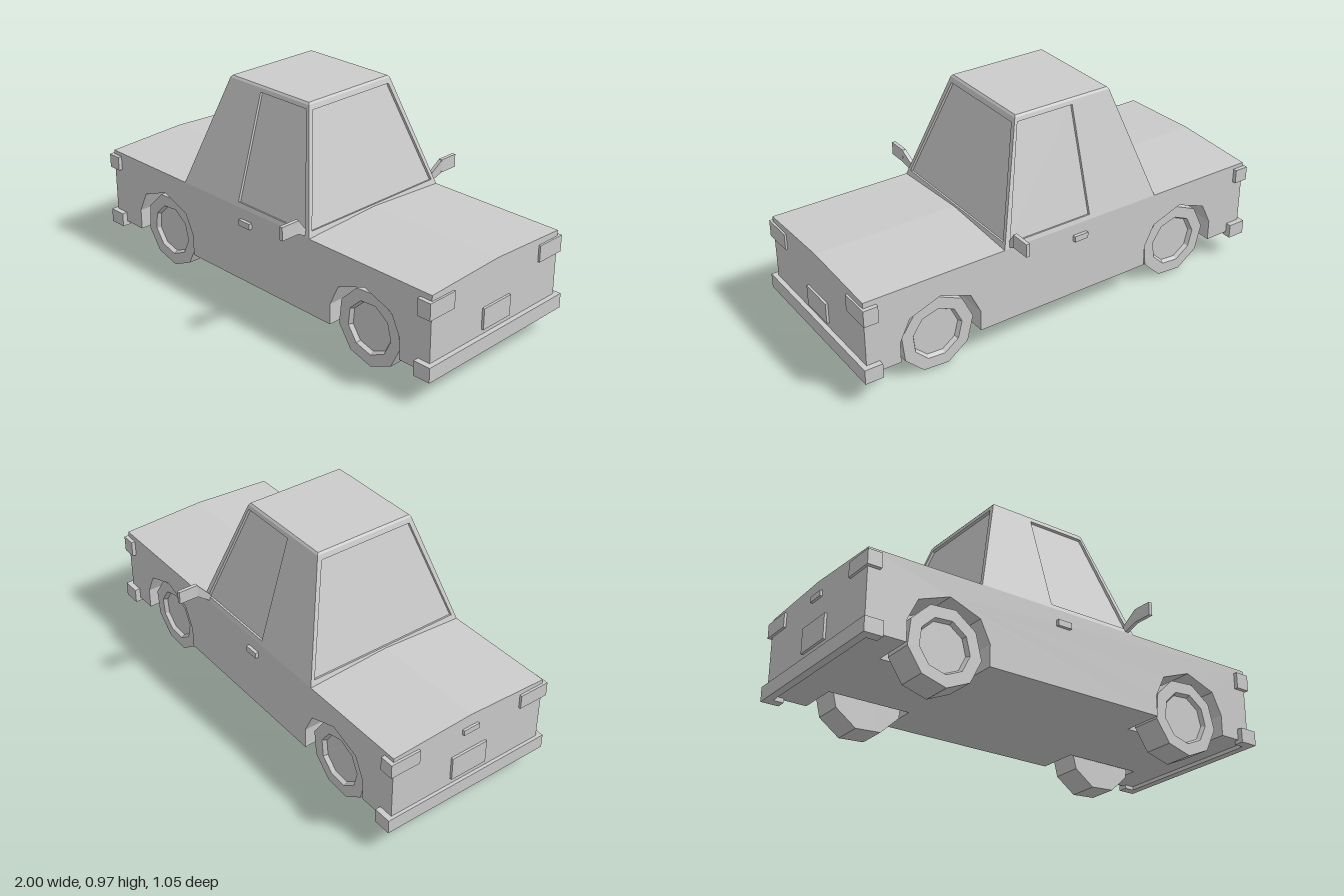
import * as THREE from 'three';

const mat = new THREE.MeshStandardMaterial({ color: 0xcccccc, flatShading: true, side: THREE.DoubleSide });
const V = (x, y, z) => new THREE.Vector3(x, y, z);

export function createModel() {
  const car = new THREE.Group();
  car.name = 'car';
  const add = (name, geo) => {
    const m = new THREE.Mesh(geo, mat);
    m.name = name;
    car.add(m);
    return m;
  };
  // Box given by its extents
  const block = (name, x0, x1, y0, y1, z0, z1) =>
    add(name, new THREE.BoxGeometry(x1 - x0, y1 - y0, z1 - z0)
      .translate((x0 + x1) / 2, (y0 + y1) / 2, (z0 + z1) / 2));

  const X0 = -0.985, X1 = 0.975, Y0 = 0.125, Y1 = 0.47, W = 0.39, IN = 0.2;
  const wheelX = [-0.615, 0.63], wheelY = 0.172, wheelR = 0.172;

  // Body: solid core between two side slabs with wheel arches cut out
  block('bodyCore', X0, X1, Y0, Y1, -IN, IN);
  const arch = [[-0.19, Y0], [-0.19, 0.22], [-0.143, 0.317], [0, 0.37], [0.143, 0.317], [0.19, 0.22], [0.19, Y0]];
  const side = new THREE.Shape();
  side.moveTo(X0, Y0);
  for (const cx of wheelX) for (const [x, y] of arch) side.lineTo(cx + x, y);
  side.lineTo(X1, Y0);
  side.lineTo(X1, Y1);
  side.lineTo(X0, Y1);
  for (const z of [IN, -W]) {
    add('bodySide', new THREE.ExtrudeGeometry(side, { depth: W - IN, bevelEnabled: false }).translate(0, 0, z));
  }

  // Gently crowned deck forming the hood and trunk lid
  const crown = new THREE.Shape([[-W, Y1], [W, Y1], [0, 0.487]].map(([x, y]) => new THREE.Vector2(x, y)));
  add('deck', new THREE.ExtrudeGeometry(crown, { depth: X1 - X0, bevelEnabled: false })
    .rotateY(Math.PI / 2).translate(X0, 0, 0));

  // Cabin wall: corners bl, br, tr, tl seen from outside, with a recessed window at hole (u, v)
  function wall(name, c, hole) {
    const at = ([u, v]) => c[0].clone().lerp(c[1], u).lerp(c[3].clone().lerp(c[2], u), v);
    const inward = c[3].clone().sub(c[0]).cross(c[1].clone().sub(c[0])).normalize().multiplyScalar(0.012);
    const rim = hole.map(at), glass = rim.map(p => p.clone().add(inward));
    const pts = [];
    const quad = (a, b, d, e) => pts.push(a, b, d, a, d, e);
    for (let i = 0; i < 4; i++) {
      const j = (i + 1) % 4;
      quad(c[i], c[j], rim[j], rim[i]);
      quad(rim[i], rim[j], glass[j], glass[i]);
    }
    quad(...glass);
    const geo = new THREE.BufferGeometry().setFromPoints(pts);
    geo.computeVertexNormals();
    add(name, geo);
  }
  const B = { r: -0.465, f: 0.32, y: Y1, w: W }, T = { r: -0.311, f: 0.167, y: 0.964, w: 0.24 };
  const corner = (l, end, s) => V(l[end], l.y, l.w * s);
  const screen = [[0.023, 0.05], [0.977, 0.05], [0.955, 0.955], [0.045, 0.955]];
  const door = [[0.445, 0.04], [0.969, 0.04], [0.971, 0.965], [0.41, 0.965]];
  const doorMirror = [1, 0, 3, 2].map(i => [1 - door[i][0], door[i][1]]);
  const face = (e0, s0, e1, s1) => [corner(B, e0, s0), corner(B, e1, s1), corner(T, e1, s1), corner(T, e0, s0)];
  wall('windshield', face('f', 1, 'f', -1), screen);
  wall('rearWindow', face('r', -1, 'r', 1), screen);
  wall('cabinSide', face('r', 1, 'f', 1), door);
  wall('cabinSide', face('f', -1, 'r', -1), doorMirror);

  // Roof cap with a narrow chamfer
  const roof = block('roof', T.r, T.f, 0.955, 0.973, -T.w, T.w);
  const rp = roof.geometry.attributes.position, mid = (T.r + T.f) / 2;
  for (let i = 0; i < rp.count; i++) {
    const grow = rp.getY(i) > 0.96 ? -0.007 : 0;
    rp.setX(i, rp.getX(i) + Math.sign(rp.getX(i) - mid) * grow);
    rp.setZ(i, rp.getZ(i) + Math.sign(rp.getZ(i)) * grow);
    if (!grow) rp.setY(i, T.y);
  }

  // Wheels: nine-sided tyres with a recessed hub on the outside
  const profile = [[0, -0.07], [wheelR, -0.07], [wheelR, 0.07], [0.118, 0.07], [0.108, 0.052], [0, 0.052]]
    .map(([x, y]) => new THREE.Vector2(x, y));
  for (const x of wheelX) for (const s of [1, -1]) {
    const wheel = add('wheel', new THREE.LatheGeometry(profile, 9)
      .rotateY(s > 0 ? 0.07 : Math.PI - 0.07).rotateX(s * Math.PI / 2));
    if (s < 0) wheel.geometry.rotateZ(Math.PI);
    wheel.position.set(x, wheelY, s * 0.29);
  }

  // Bumpers with wrapped ends
  block('frontBumper', 0.96, 0.997, 0.108, 0.175, -0.415, 0.415);
  block('rearBumper', -1, -0.965, 0.105, 0.17, -0.415, 0.415);

  // Number plates and trunk handle
  block('frontPlate', 0.96, 0.986, 0.2, 0.295, -0.083, 0.083);
  block('rearPlate', -0.996, -0.96, 0.2, 0.31, -0.09, 0.09);
  block('trunkHandle', -0.996, -0.96, 0.405, 0.43, -0.04, 0.04);

  for (const s of [1, -1]) {
    const pair = (name, x0, x1, y0, y1, z0, z1) =>
      block(name, x0, x1, y0, y1, Math.min(s * z0, s * z1), Math.max(s * z0, s * z1));
    pair('bumperEnd', 0.915, 0.997, 0.108, 0.175, 0.37, 0.415);
    pair('bumperEnd', -1, -0.918, 0.105, 0.17, 0.37, 0.415);
    pair('headlight', 0.918, 0.984, 0.37, 0.445, 0.265, 0.408);
    pair('tailLight', -0.996, -0.932, 0.387, 0.452, 0.265, 0.408);
    pair('doorHandle', -0.095, -0.027, 0.393, 0.42, 0.38, 0.405);

    // Wing mirror with a slanted arm
    pair('mirror', 0.293, 0.31, 0.505, 0.565, 0.435, 0.527);
    const arm = pair('mirrorArm', 0.293, 0.31, 0.505, 0.565, 0.38, 0.437);
    const p = arm.geometry.attributes.position;
    for (let i = 0; i < p.count; i++) {
      if (Math.abs(p.getZ(i)) < 0.4) {
        p.setX(i, p.getX(i) - 0.018);
        p.setY(i, p.getY(i) > 0.53 ? 0.5 : 0.468);
      }
    }
  }
  return car;
}
